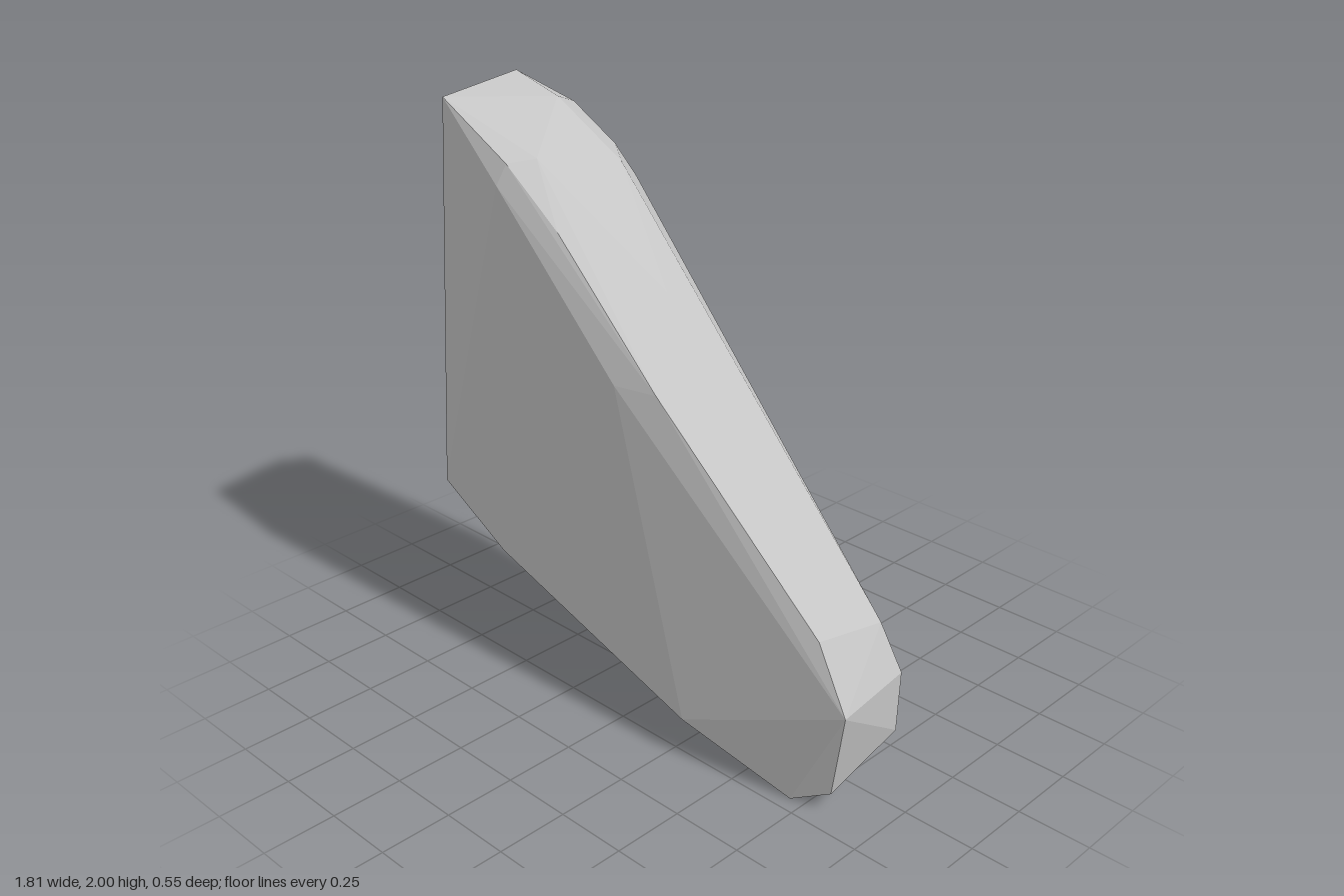
import * as THREE from 'three';
import { ConvexGeometry } from 'three/addons/geometries/ConvexGeometry.js';

const stone = new THREE.MeshStandardMaterial({ color: 0xc5c5c5 });
stone.name = 'pale stone grey';

export function createModel() {
  const group = new THREE.Group();
  group.name = 'rock';

  // broad front face
  const front = [
    [-0.875, 0.6, 0.27], [-0.57, 0.43, 0.272], [0.3, 0.14, 0.272],
    [0.0, 1.22, 0.268], [-0.52, 1.75, 0.272],
  ];
  // flat back face with a rounded inner end
  const back = [
    [-0.905, 1.9, -0.265], [-0.73, 1.9, -0.255], [-0.53, 1.79, -0.255],
    [-0.45, 1.69, -0.275], [-0.33, 1.52, -0.275], [-0.28, 1.3, -0.275],
    [-0.32, 1.08, -0.275], [-0.45, 0.9, -0.275], [-0.65, 0.75, -0.275],
    [-0.85, 0.66, -0.272], [-0.905, 0.92, -0.272],
  ];
  // chipped crown and long upper slope
  const crown = [
    [-0.89, 2.0, -0.14], [-0.85, 1.97, 0.21], [-0.66, 1.95, -0.12],
    [-0.45, 1.83, 0.16], [-0.5, 1.82, 0.245], [-0.4, 1.77, -0.16],
    [-0.28, 1.64, 0.232], [0.15, 1.22, 0.235], [-0.05, 1.435, -0.02],
  ];
  // blunt narrow tip
  const tip = [
    [0.78, 0.6, 0.185], [0.8, 0.56, -0.09], [0.902, 0.39, 0.198],
    [0.872, 0.4, -0.113], [0.87, 0.19, -0.105], [0.835, 0.07, 0.165],
  ];
  // underside
  const base = [
    [0.7, 0.0, 0.198], [0.69, 0.03, -0.077], [0.47, 0.015, -0.07],
    [0.2, 0.09, 0.2], [-0.6, 0.38, 0.2], [-0.88, 0.49, 0.18],
    [-0.87, 0.5, -0.14],
  ];

  const points = [...front, ...back, ...crown, ...tip, ...base]
    .map((p) => new THREE.Vector3(...p));
  const body = new THREE.Mesh(new ConvexGeometry(points), stone);
  body.name = 'rockBody';
  group.add(body);
  return group;
}
